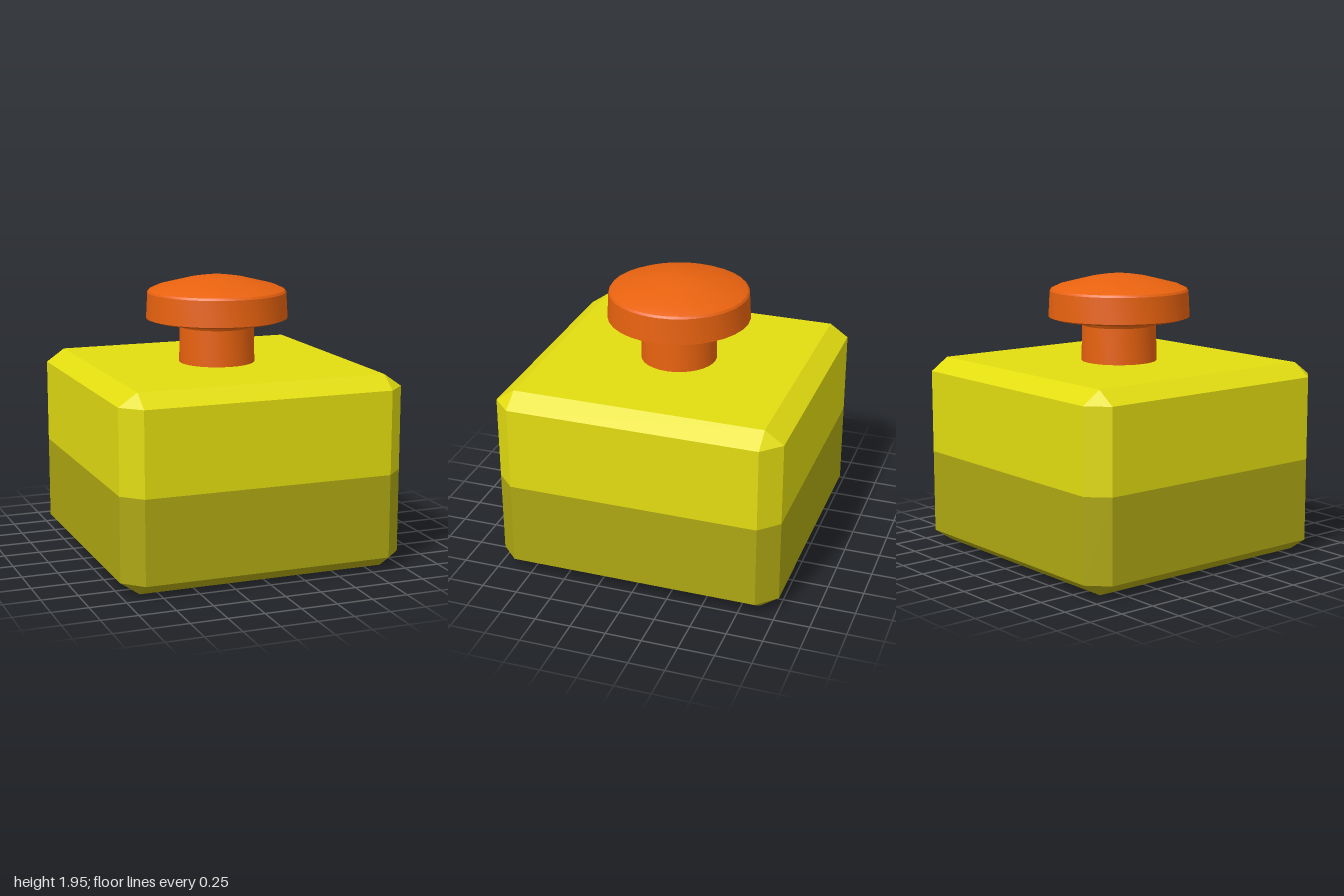
import * as THREE from 'three';
import { toCreasedNormals } from 'three/addons/utils/BufferGeometryUtils.js';

const BEVEL = 0.13;
const IN = 1 - BEVEL;

// Square with cut corners at height y; inset 1 shrinks it to the inner square
function ring(y, inset) {
  const r = inset ? IN : 1;
  const corners = [[1, 1], [1, -1], [-1, -1], [-1, 1]];
  return corners.flatMap(([sx, sz], i) => {
    const a = new THREE.Vector3(sx * IN, y, sz * r);
    const b = new THREE.Vector3(sx * r, y, sz * IN);
    return i % 2 ? [b, a] : [a, b];
  });
}

// Flat-faced skin through the rings, bottom to top, with optional caps
function loft(rings, capBottom, capTop) {
  const pos = [];
  const tri = (a, b, c) => {
    const area = b.clone().sub(a).cross(c.clone().sub(a)).length();
    if (area > 1e-6) for (const p of [a, b, c]) pos.push(p.x, p.y, p.z);
  };
  for (let k = 0; k < rings.length - 1; k++) {
    const lo = rings[k], hi = rings[k + 1];
    for (let i = 0; i < 8; i++) {
      const j = (i + 1) % 8;
      tri(lo[i], lo[j], hi[j]);
      tri(lo[i], hi[j], hi[i]);
    }
  }
  const bottom = rings[0], top = rings[rings.length - 1];
  for (let i = 1; i < 7; i++) {
    if (capBottom) tri(bottom[0], bottom[i + 1], bottom[i]);
    if (capTop) tri(top[0], top[i], top[i + 1]);
  }
  const g = new THREE.BufferGeometry();
  g.setAttribute('position', new THREE.Float32BufferAttribute(pos, 3));
  g.computeVertexNormals();
  return g;
}

export function createModel() {
  const model = new THREE.Group();
  model.name = 'pushButton';
  const add = (name, geometry, color) => {
    const mesh = new THREE.Mesh(geometry, new THREE.MeshStandardMaterial({ color }));
    mesh.name = name;
    model.add(mesh);
  };

  // Bevelled housing in two tones
  add('lowerHousing', loft([ring(0, 1), ring(0.09, 0), ring(0.67, 0)], true, false), 0xaea712);
  add('upperHousing', loft([ring(0.67, 0), ring(1.25, 0), ring(1.34, 1)], false, true), 0xe2dc10);

  // Mushroom button: stem, flared neck, rim and domed crown
  const profile = [
    [0.265, 1.32], [0.26, 1.59], [0.28, 1.625], [0.45, 1.635], [0.495, 1.65],
    [0.485, 1.83], [0.475, 1.845], [0.42, 1.87], [0.32, 1.895], [0.2, 1.925],
    [0.1, 1.941], [0, 1.946],
  ].map(([x, y]) => new THREE.Vector2(x, y));
  add('button', toCreasedNormals(new THREE.LatheGeometry(profile, 32), 0.5), 0xe8620f);

  return model;
}
